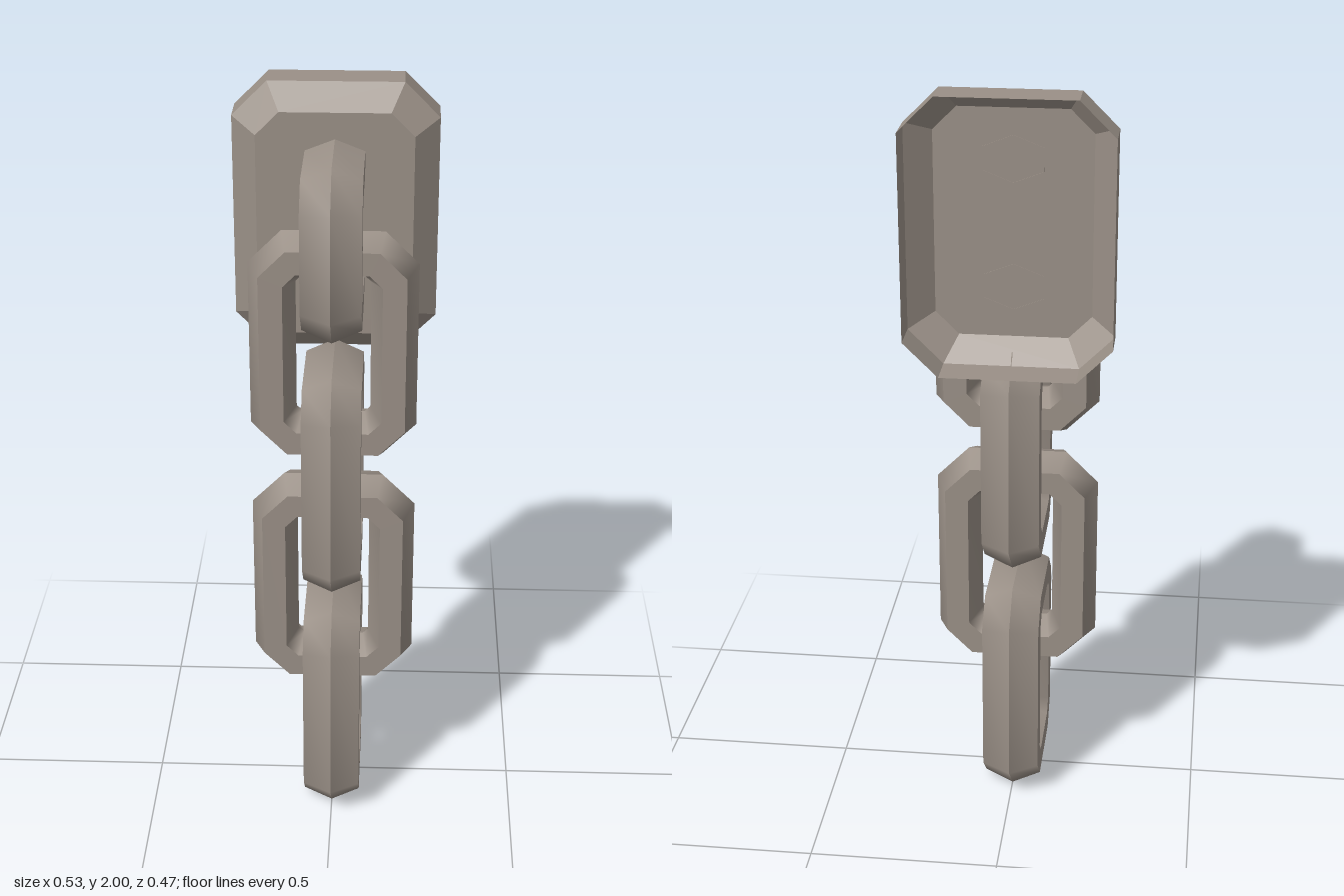
import * as THREE from 'three';

const metal = new THREE.MeshStandardMaterial({ color: 0x9a9087, side: THREE.DoubleSide });
metal.name = 'warm grey metal';

const LINK_Z = 0.0175; // depth of the chain's axis
// Six-sided bar section: [inset from the link's outline, offset across the link]
const SECTION = [[0, 0], [0.03, 0.076], [0.091, 0.076], [0.121, 0], [0.091, -0.076], [0.03, -0.076]];

// Rectangle with cut corners, counter-clockwise from the bottom left
function octagon(w, h, c) {
  return [[c - w, -h], [w - c, -h], [w, c - h], [w, h - c], [w - c, h], [c - w, h], [-w, h - c], [-w, c - h]];
}

function geometryFrom(positions, indices) {
  const g = new THREE.BufferGeometry();
  g.setAttribute('position', new THREE.Float32BufferAttribute(positions, 3));
  g.setIndex(indices);
  return g;
}

// Each side of the bar is its own strip: smooth along the link, sharp across it.
// With openAt set, the link is a U whose ends stop at that local x.
function linkGeometry(halfW, halfH, openAt = null) {
  const rings = SECTION.map(([inset, z]) => {
    let loop = octagon(halfW - inset, halfH - inset, 0.086 - 0.586 * inset);
    if (openAt !== null) {
      loop = loop.slice(0, 6);
      loop[0][0] = loop[5][0] = openAt;
    }
    return loop.map(([x, y]) => [x, y, z]);
  });
  const positions = [], indices = [];
  rings.forEach((ring, k) => {
    const next = rings[(k + 1) % rings.length];
    const n = ring.length, base = positions.length / 3;
    positions.push(...ring.flat(), ...next.flat());
    for (let i = 0; i < (openAt === null ? n : n - 1); i++) {
      const j = (i + 1) % n;
      const a = base + i, b = base + j, c = base + n + j, d = base + n + i;
      indices.push(a, b, c, a, c, d);
    }
  });
  const g = geometryFrom(positions, indices);
  g.computeVertexNormals();
  return g;
}

// Hollow wall plate with a bevelled front and an open back
function plateGeometry() {
  const loops = [
    [0.263, 0.3575, 0.09, 1.6425, -0.235],
    [0.263, 0.3575, 0.09, 1.6425, -0.14],
    [0.2, 0.297, 0.06, 1.641, -0.08],
  ].map(([w, h, c, cy, z]) => octagon(w, h, c).map(([x, y]) => [x, y + cy, z]));
  const indices = [];
  for (let k = 0; k < 2; k++) {
    for (let i = 0; i < 8; i++) {
      const j = (i + 1) % 8, a = k * 8 + i, b = k * 8 + j;
      indices.push(a, b, b + 8, a, b + 8, a + 8);
    }
  }
  for (let i = 1; i < 7; i++) indices.push(16, 16 + i, 17 + i);
  const g = geometryFrom(loops.flat(2), indices).toNonIndexed();
  g.computeVertexNormals();
  return g;
}

export function createModel() {
  const model = new THREE.Group();
  model.name = 'wallChain';
  const add = (name, geometry) => {
    const mesh = new THREE.Mesh(geometry, metal);
    mesh.name = name;
    model.add(mesh);
    return mesh;
  };

  add('wallPlate', plateGeometry());

  // Four full links, alternately turned a quarter
  const link = linkGeometry(0.217, 0.311);
  [0.311, 0.667, 1.001, 1.355].forEach((y, i) => {
    const mesh = add('chainLink' + (i + 1), link);
    mesh.position.set(0, y, LINK_Z);
    if (i % 2 === 0) mesh.rotation.y = -Math.PI / 2;
  });

  // Shorter U-shaped link fixed to the plate
  const anchor = add('anchorLink', linkGeometry(0.217, 0.2265, -0.099));
  anchor.position.set(0, 1.6435, LINK_Z);
  anchor.rotation.y = -Math.PI / 2;

  return model;
}
